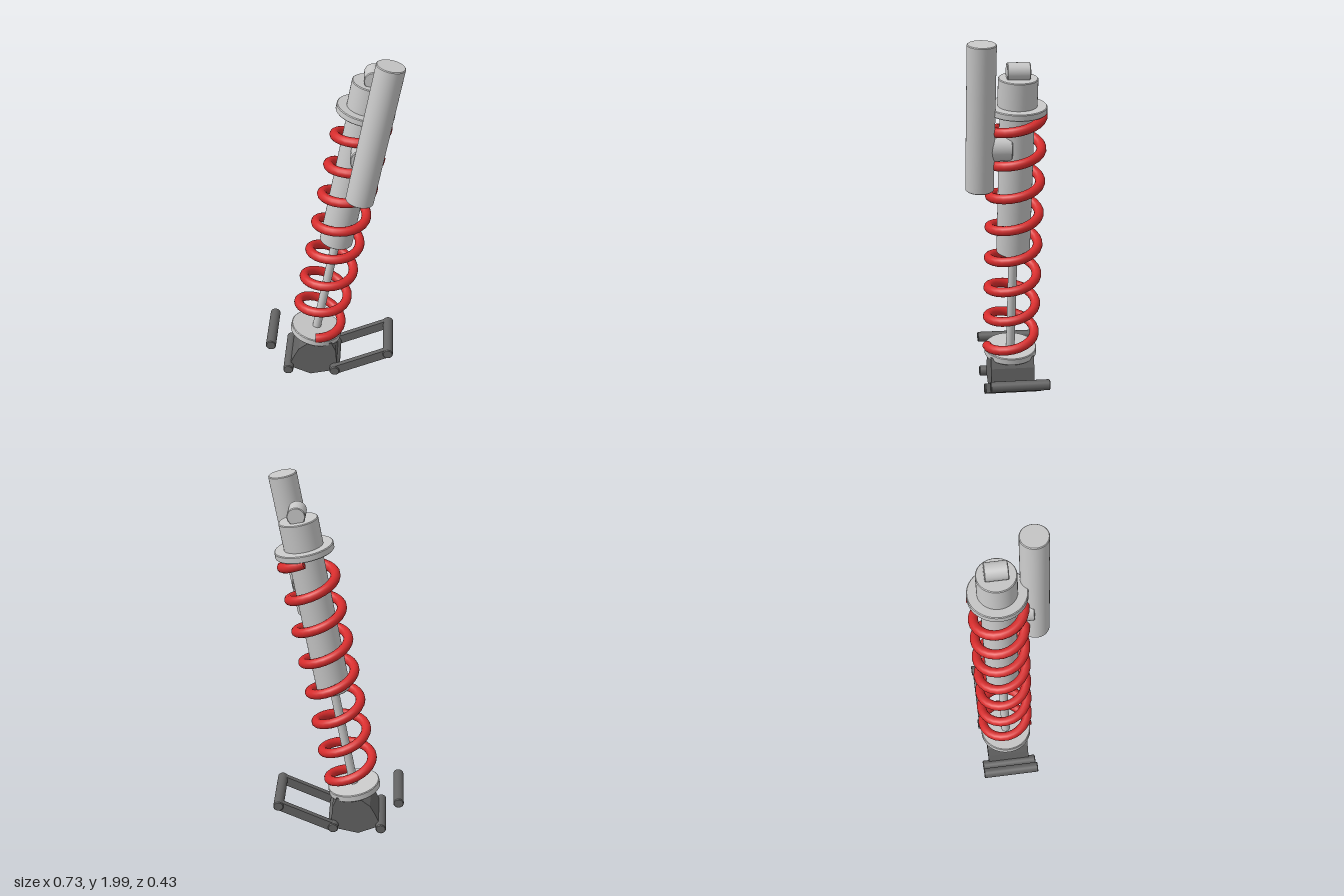
import * as THREE from 'three';

export function createModel() {
  const mat = (name, color) => Object.assign(new THREE.MeshStandardMaterial({ color }), { name });
  const metal = mat('light metal', 0xc8c8c8);
  const red = mat('red spring', 0xd62c2c);
  const dark = mat('dark steel', 0x636363);

  const model = new THREE.Group();
  model.name = 'shockAbsorber';
  const MID_Z = -0.054;

  const add = (parent, name, geometry, material, x = 0, y = 0, z = 0) => {
    const mesh = new THREE.Mesh(geometry, material);
    mesh.name = name;
    mesh.position.set(x, y, z);
    parent.add(mesh);
    return mesh;
  };

  // Cylinder with a small chamfer on both rims, standing from y = 0 to y = h
  const rod = (r, h, b = 0.004) => {
    const ring = (a, c) => new THREE.Vector2(a, c);
    const g = new THREE.LatheGeometry([
      ring(0, 0), ring(r - b, 0), ring(r - b, 0), ring(r, b), ring(r, b),
      ring(r, h - b), ring(r, h - b), ring(r - b, h), ring(r - b, h), ring(0, h)], 40);
    return g;
  };

  // Leaning strut: local y runs along the damper axis
  const strut = new THREE.Group();
  strut.name = 'strut';
  strut.position.set(-0.093, 0.247, MID_Z);
  strut.rotation.z = -THREE.MathUtils.degToRad(10.6);
  model.add(strut);

  add(strut, 'lowerSpringSeat', rod(0.145, 0.04), metal, 0, -0.02);
  add(strut, 'pistonRod', rod(0.024, 0.65, 0.002), metal);
  add(strut, 'damperBody', rod(0.09, 0.83), metal, 0, 0.613);
  add(strut, 'upperSpringSeat', rod(0.153, 0.036), metal, 0, 1.405);
  add(strut, 'topCap', rod(0.102, 0.15), metal, 0, 1.435);

  // Mounting eye across the top
  const eye = add(strut, 'topEye', rod(0.047, 0.118), metal, 0, 1.617, -0.059);
  eye.rotation.x = Math.PI / 2;

  // Side reservoir and its short link to the body
  add(strut, 'reservoir', rod(0.074, 0.775), metal, 0.0575, 1.003, 0.193);
  const link = add(strut, 'reservoirLink', rod(0.07, 0.15), metal, 0.035, 1.225, 0.03);
  link.rotation.x = Math.PI / 2;

  // Coil spring: seven and a half turns
  class Helix extends THREE.Curve {
    getPoint(t, target = new THREE.Vector3()) {
      const a = t * 7.5 * Math.PI * 2;
      return target.set(0.131 * Math.sin(a), 0.028 + 1.366 * t, 0.131 * Math.cos(a));
    }
  }
  const helix = new Helix();
  const coil = add(strut, 'coilSpring', new THREE.TubeGeometry(helix, 180, 0.026, 14, false), red);
  [0, 1].forEach((t) => {
    const cap = add(coil, 'springEnd', new THREE.CircleGeometry(0.026, 14), red);
    const p = helix.getPointAt(t);
    cap.position.copy(p);
    const dir = helix.getTangentAt(t).multiplyScalar(t ? 1 : -1);
    cap.quaternion.setFromUnitVectors(new THREE.Vector3(0, 0, 1), dir);
  });

  // Lower knuckle block
  const outline = [
    [-0.245, 0.06], [-0.12, 0.008], [0.02, 0.04], [0.03, 0.09], [0.024, 0.175], [0, 0.232],
    [-0.125, 0.232], [-0.185, 0.185], [-0.212, 0.135]].map(([x, y]) => new THREE.Vector2(x, y));
  add(model, 'knuckle', new THREE.ExtrudeGeometry(new THREE.Shape(outline),
    { depth: 0.24, bevelEnabled: false }), dark, 0, 0, MID_Z - 0.12);

  // Cross pins running front to back
  const pins = { outerPin: [-0.341, 0.233], knucklePinRight: [-0.246, 0.061],
    knucklePinLeft: [0.019, 0.061], linkagePin: [0.32, 0.194] };
  for (const [name, [x, y]] of Object.entries(pins)) {
    const pin = add(model, name, rod(0.0285, 0.317), dark, x, y, MID_Z - 0.1585);
    pin.rotation.x = Math.PI / 2;
  }

  // Pair of arms joining the knuckle to the linkage pin
  const [ax, ay] = pins.knucklePinLeft, [bx, by] = pins.linkagePin;
  for (const side of [-1, 1]) {
    const arm = add(model, side > 0 ? 'armFront' : 'armBack',
      new THREE.BoxGeometry(Math.hypot(bx - ax, by - ay), 0.052, 0.03), dark,
      (ax + bx) / 2, (ay + by) / 2, MID_Z + side * 0.136);
    arm.rotation.z = Math.atan2(by - ay, bx - ax);
  }

  return model;
}
